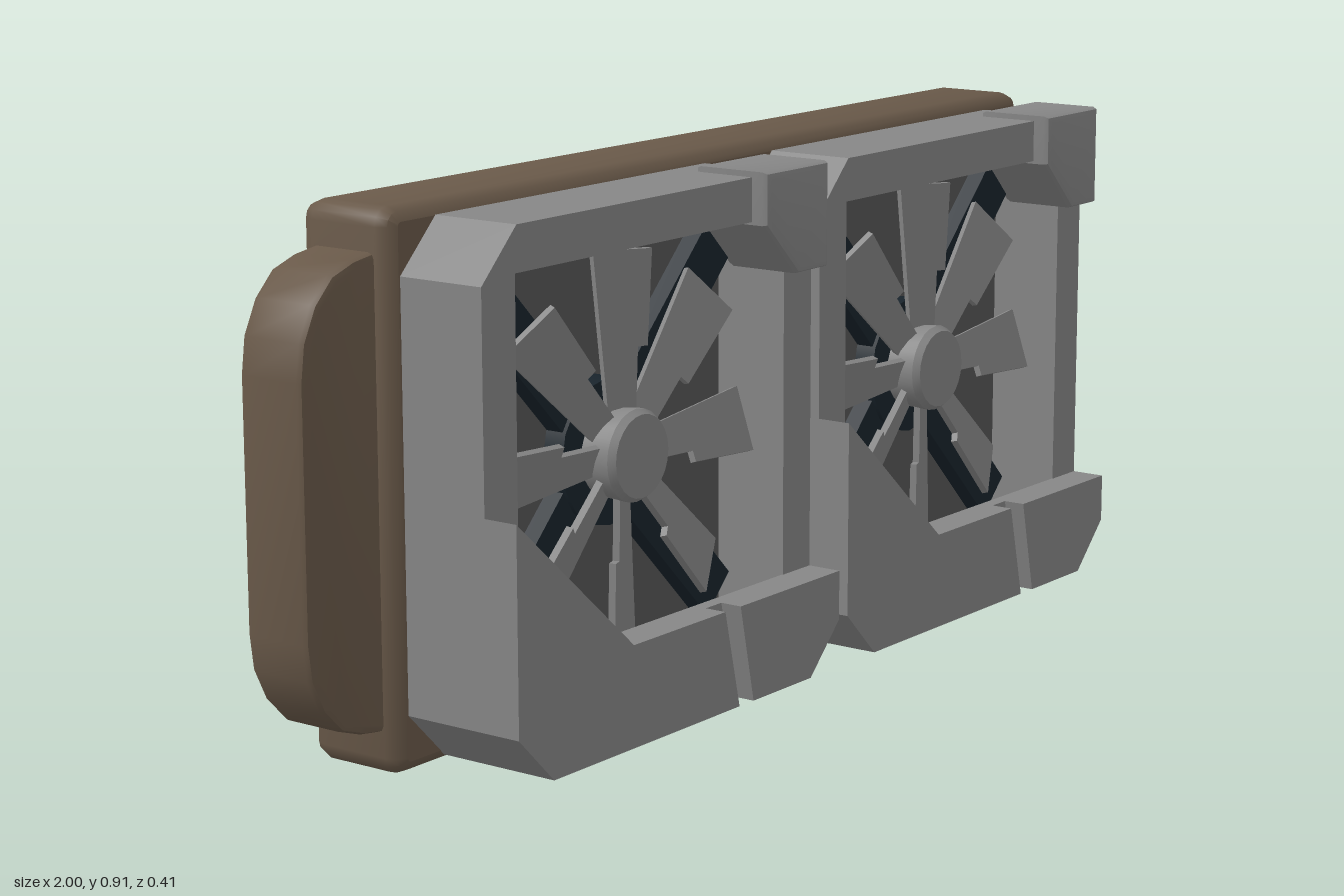
import * as THREE from 'three';
import { toCreasedNormals } from 'three/addons/utils/BufferGeometryUtils.js';

const material = (color) => new THREE.MeshStandardMaterial({ color });
const grey = material(0x868686);
const darkGrey = material(0x555555);
const brown = material(0x695949);
const navy = material(0x18232b);
const brownSheet = material(0x5a4a41);
brownSheet.side = THREE.DoubleSide;

function part(parent, name, geometry, mat) {
  const mesh = new THREE.Mesh(geometry, mat);
  mesh.name = name;
  parent.add(mesh);
  return mesh;
}

const toShape = (points) => new THREE.Shape(points.map(([x, y]) => new THREE.Vector2(x, y)));
const rectangle = (x0, y0, x1, y1) => [[x0, y0], [x1, y0], [x1, y1], [x0, y1]];

// Extrudes an outline between two depths; the bevel stays inside the outline
function slab(shape, z0, z1, bevel = 0, segments = 1) {
  const g = new THREE.ExtrudeGeometry(shape, {
    depth: z1 - z0 - 2 * bevel, bevelEnabled: bevel > 0, bevelThickness: bevel,
    bevelSize: bevel, bevelOffset: -bevel, bevelSegments: segments, curveSegments: 8,
  });
  return toCreasedNormals(g.translate(0, 0, z0 + bevel), 0.6);
}

// Counter-clockwise rectangle with rounded corners
function roundedOutline(x0, y0, x1, y1, r) {
  const points = [];
  [[x1 - r, y0 + r, -1], [x1 - r, y1 - r, 0], [x0 + r, y1 - r, 1], [x0 + r, y0 + r, 2]].forEach(([cx, cy, q]) => {
    for (let i = 0; i <= 3; i++) {
      const a = (q + i / 3) * Math.PI / 2;
      points.push([cx + r * Math.cos(a), cy + r * Math.sin(a)]);
    }
  });
  return points;
}

// V-shaped channel running along x
function channel(x0, x1, y0, y1, zMouth, zDeep) {
  const position = [];
  const yDeep = y0 + (y1 - y0) * 0.55;
  for (const x of [x0, x1]) position.push(x, y0, zMouth, x, yDeep, zDeep, x, y1, zMouth);
  const g = new THREE.BufferGeometry();
  g.setAttribute('position', new THREE.Float32BufferAttribute(position, 3));
  g.setIndex([0, 1, 4, 0, 4, 3, 1, 2, 5, 1, 5, 4, 0, 2, 1, 3, 4, 5]);
  return toCreasedNormals(g, 0.2);
}

function createBody() {
  const body = new THREE.Group();
  body.name = 'housing';
  const X0 = -0.833, X1 = 1, Y1 = 0.908, back = -0.205, front = -0.02;

  // Rounded side wall lofted through inset rings
  const rings = [[0.023, back], [0.008, back + 0.009], [0, back + 0.028],
    [0, front - 0.028], [0.008, front - 0.009], [0.023, front]];
  const position = [], index = [];
  rings.forEach(([d, z]) => roundedOutline(X0 + d, d, X1 - d, Y1 - d, 0.03 - d)
    .forEach(([x, y]) => position.push(x, y, z)));
  const n = position.length / 3 / rings.length;
  for (let r = 0; r < rings.length - 1; r++) {
    for (let i = 0; i < n; i++) {
      const a = r * n + i, b = r * n + (i + 1) % n;
      index.push(a, b, b + n, a, b + n, a + n);
    }
  }
  const wall = new THREE.BufferGeometry();
  wall.setAttribute('position', new THREE.Float32BufferAttribute(position, 3));
  wall.setIndex(index);
  part(body, 'housingWall', toCreasedNormals(wall, 0.7), brown);

  // Front panel and louvred back panel
  const face = () => toShape(roundedOutline(X0 + 0.023, 0.023, X1 - 0.023, Y1 - 0.023, 0.007));
  part(body, 'frontPanel', new THREE.ShapeGeometry(face()), brown).position.z = front;
  const rear = face();
  for (let i = 0; i < 8; i++) {
    const y = 0.075 + i * 0.1;
    rear.holes.push(toShape(rectangle(-0.78, y, 0.95, y + 0.06).reverse()));
    part(body, 'ventGroove', channel(-0.78, 0.95, y, y + 0.06, back, back + 0.06), brownSheet);
  }
  part(body, 'backPanel', new THREE.ShapeGeometry(rear), brownSheet).position.z = back;

  // Rounded side tank
  const tank = toShape([[-0.82, 0.07], [-0.82, 0.84], [-0.875, 0.832], [-0.925, 0.815], [-0.965, 0.775],
    [-0.992, 0.72], [-1, 0.66], [-1, 0.25], [-0.992, 0.19], [-0.965, 0.135], [-0.925, 0.095], [-0.875, 0.078]].reverse());
  part(body, 'sideTank', slab(tank, -0.18, -0.05, 0.012, 2), brown);
  return body;
}

// One fan blade along +x with a stepped trailing edge, pitched about its length
function bladeGeometry() {
  const outline = toShape([[0.05, -0.025], [0.175, -0.03], [0.175, -0.049], [0.335, -0.058],
    [0.34, 0.055], [0.05, 0.026]]);
  return slab(outline, -0.006, 0.006).rotateX(-0.35);
}

function createFan() {
  const fan = new THREE.Group();
  fan.name = 'fan';

  // Square frame with chamfered corners and a dark recessed floor
  const frame = toShape([[-0.35, -0.442], [0.35, -0.442], [0.435, -0.357], [0.435, 0.345],
    [0.35, 0.43], [-0.35, 0.43], [-0.435, 0.345], [-0.435, -0.357]]);
  frame.holes.push(toShape(rectangle(-0.355, -0.35, 0.355, 0.355).reverse()));
  part(fan, 'fanFrame', slab(frame, -0.022, 0.142), grey);
  part(fan, 'fanFloor', new THREE.BoxGeometry(0.73, 0.73, 0.025), darkGrey).position.z = -0.008;

  // Diagonal struts and motor mount
  for (let i = 0; i < 4; i++) {
    const a = Math.PI / 4 + i * Math.PI / 2;
    const strut = part(fan, 'strut', new THREE.BoxGeometry(0.35, 0.09, 0.035), navy);
    strut.position.set(0.262 * Math.cos(a), 0.262 * Math.sin(a), 0.02);
    strut.rotation.z = a;
  }
  const mount = part(fan, 'motorMount', new THREE.CylinderGeometry(0.125, 0.125, 0.045, 16).rotateX(Math.PI / 2), navy);
  mount.position.z = 0.022;

  // Rotor
  const blade = bladeGeometry();
  for (let i = 0; i < 8; i++) {
    const mesh = part(fan, 'blade', blade, grey);
    mesh.position.z = 0.068;
    mesh.rotation.z = i * Math.PI / 4;
  }
  const hubProfile = [[0, 0.03], [0.075, 0.03], [0.078, 0.1], [0.07, 0.112], [0, 0.112]];
  const hub = new THREE.LatheGeometry(hubProfile.map(([r, h]) => new THREE.Vector2(r, h)), 24).rotateX(Math.PI / 2);
  part(fan, 'hub', toCreasedNormals(hub, 0.6), grey);

  // Lower guard plate in two pieces with a slanted slot between
  const guardLeft = toShape([[-0.35, -0.442], [0.142, -0.442], [0.102, -0.27], [-0.145, -0.27],
    [-0.435, -0.014], [-0.435, -0.357]]);
  const guardRight = toShape([[0.182, -0.442], [0.35, -0.442], [0.435, -0.357], [0.435, -0.27], [0.145, -0.27]]);
  const slot = toShape([[0.142, -0.442], [0.182, -0.442], [0.145, -0.27], [0.102, -0.27]]);
  part(fan, 'guardPlate', slab(guardLeft, 0.14, 0.205), grey);
  part(fan, 'guardPlate', slab(guardRight, 0.14, 0.205), grey);
  part(fan, 'guardSlot', slab(slot, 0.14, 0.165), grey);

  // Corner cap on the upper outer corner, its inner corner cut away
  const cap = toShape([[0.355, 0.258], [0.443, 0.258], [0.443, 0.44], [0.262, 0.44], [0.262, 0.35]]);
  part(fan, 'cornerCap', slab(cap, 0.025, 0.175, 0.012, 2), grey);
  return fan;
}

export function createModel() {
  const model = new THREE.Group();
  model.name = 'twinFanUnit';
  model.add(createBody());
  for (const x of [-0.372, 0.524]) {
    const fan = createFan();
    fan.position.set(x, 0.456, 0);
    model.add(fan);
  }
  return model;
}
